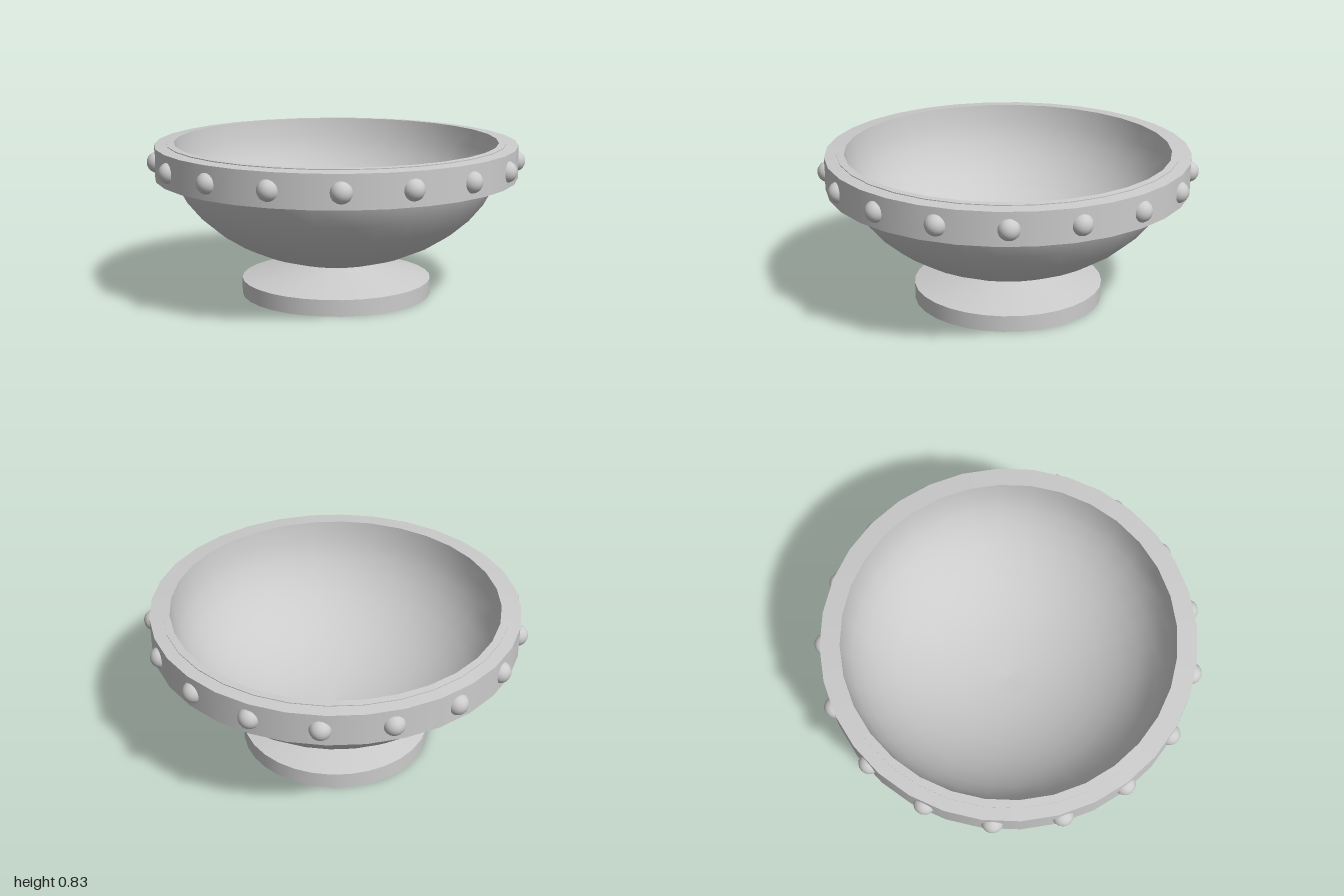
import * as THREE from 'three';
import { mergeGeometries } from 'three/addons/utils/BufferGeometryUtils.js';

const SIDES = 32;
const RIM_Y = 0.829;
const grey = new THREE.MeshStandardMaterial({ color: 0xcccccc });
const greyThin = new THREE.MeshStandardMaterial({ color: 0xcccccc, side: THREE.DoubleSide });

const lathe = (profile) =>
  new THREE.LatheGeometry(profile.map(([r, y]) => new THREE.Vector2(r, y)), SIDES);

// Revolves each straight profile segment on its own, so corners stay sharp
const sharpLathe = (profile) =>
  mergeGeometries(profile.slice(1).map((p, i) => lathe([profile[i], p])));

// Flattened half sphere hanging below the rim
function halfBowl(radius, depth, steps = 10) {
  const profile = [];
  for (let i = 0; i <= steps; i++) {
    const a = (Math.PI / 2) * (i / steps);
    profile.push([radius * Math.sin(a), RIM_Y - depth * Math.cos(a)]);
  }
  return lathe(profile);
}

function addPart(parent, name, geometry, material = grey) {
  const mesh = new THREE.Mesh(geometry, material);
  mesh.name = name;
  parent.add(mesh);
  return mesh;
}

export function createModel() {
  const model = new THREE.Group();
  model.name = 'studdedBowl';
  model.position.set(0.002, 0, -0.006);

  // Foot: a disc with a conical top
  addPart(model, 'foot', sharpLathe([[0, 0], [0.508, 0], [0.508, 0.087], [0.17, 0.168]]));

  // Bowl: a thin shell, closed at the top by the rim band
  addPart(model, 'bowlOutside', halfBowl(0.9, 0.665));
  addPart(model, 'bowlInside', halfBowl(0.86, 0.635), greyThin);

  // Rim band with a slightly sloping top
  addPart(model, 'rimBand', sharpLathe([
    [0.86, 0.645], [0.963, 0.645], [0.963, 0.818], [0.86, RIM_Y],
  ]));

  // Ring of round studs half sunk into the band
  const studs = new THREE.Group();
  studs.name = 'studs';
  model.add(studs);
  const studGeometry = new THREE.SphereGeometry(0.056, 20, 14);
  const count = 17;
  for (let i = 0; i < count; i++) {
    const angle = (i / count) * Math.PI * 2 - 0.019;
    addPart(studs, 'stud', studGeometry)
      .position.set(Math.sin(angle) * 0.946, 0.728, Math.cos(angle) * 0.946);
  }
  return model;
}
